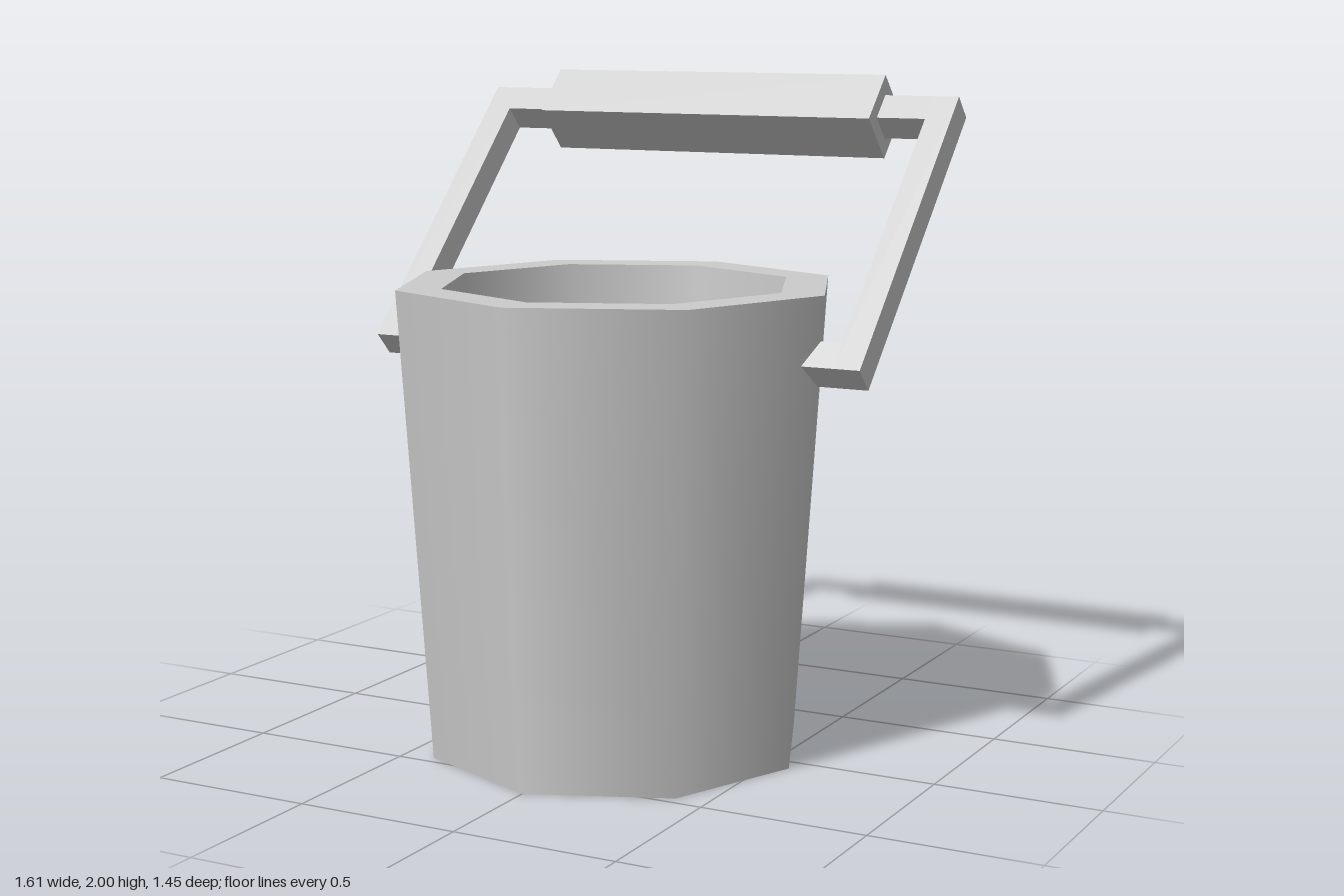
import * as THREE from 'three';

const metal = new THREE.MeshStandardMaterial({ color: 0xcccccc });
metal.name = 'light grey';

function add(parent, name, geometry, x = 0, y = 0, z = 0) {
  const mesh = new THREE.Mesh(geometry, metal);
  mesh.name = name;
  mesh.position.set(x, y, z);
  parent.add(mesh);
  return mesh;
}

export function createModel() {
  const model = new THREE.Group();
  model.name = 'bucketModel';

  // Eight-sided bucket: one profile, split at each corner to keep the rims sharp
  const bucket = new THREE.Group();
  bucket.name = 'bucket';
  bucket.position.z = 0.062;
  model.add(bucket);
  const profile = [[0, 0], [0.57, 0], [0.665, 1.4], [0.53, 1.4], [0.45, 0.12], [0, 0.12]]
    .map(([r, y]) => new THREE.Vector2(r, y));
  ['base', 'outerWall', 'rim', 'innerWall', 'floor'].forEach((name, i) => {
    add(bucket, name, new THREE.LatheGeometry([profile[i], profile[i + 1]], 8));
  });

  // Square-section handle, leaning back by 45 degrees
  const handle = new THREE.Group();
  handle.name = 'handle';
  handle.position.set(0, 1.537, -0.269);
  handle.rotation.x = -Math.PI / 4;
  model.add(handle);
  const t = 0.092, length = 1.034, end = (length - t) / 2;
  for (const [side, s] of [['left', 1], ['right', -1]]) {
    add(handle, side + 'Arm', new THREE.BoxGeometry(0.082, length, t), s * 0.762);
    add(handle, side + 'Peg', new THREE.BoxGeometry(0.14, t, t), s * 0.651, -end);
  }
  add(handle, 'crossbar', new THREE.BoxGeometry(1.442, t, t), 0, end);
  add(handle, 'grip', new THREE.BoxGeometry(1.132, 0.178, 0.178), 0, end);

  return model;
}
